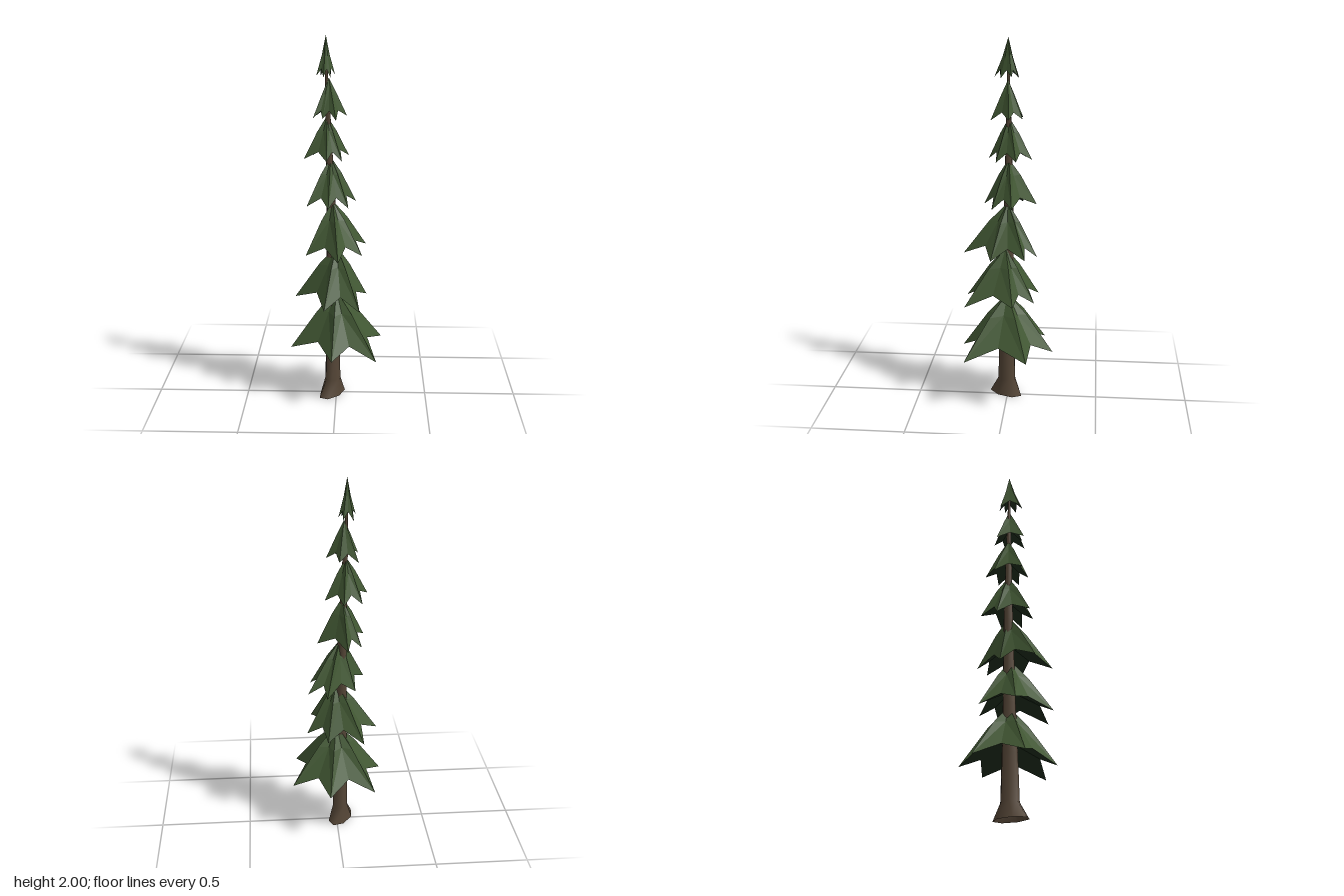
import * as THREE from 'three';
import { mergeVertices } from 'three/addons/utils/BufferGeometryUtils.js';

// Each tier: apex [x, y, z], lowest height, outward bend, and its branch tips [x, z] in order round the trunk
const TIERS = [
  { apex: [0, 0.61, 0], low: 0.28, bend: 0.06, tips: [[-0.2, -0.2], [0.05, -0.255], [0.25, -0.12], [0.22, 0.22], [-0.02, 0.25], [-0.25, 0.06]] },
  { apex: [0, 0.87, 0.01], low: 0.565, bend: 0.06, tips: [[-0.14, -0.165], [0.055, -0.15], [0.165, -0.04], [0.13, 0.225], [-0.06, 0.23], [-0.225, 0.015]] },
  { apex: [-0.02, 1.12, 0], low: 0.835, bend: 0.06, tips: [[-0.1, -0.055], [0.06, -0.165], [0.16, -0.105], [0.14, 0.08], [0.015, 0.238], [-0.16, 0.125]] },
  { apex: [-0.03, 1.36, -0.005], low: 1.1, bend: 0.06, tips: [[-0.13, -0.075], [-0.05, -0.155], [0.105, -0.03], [0.065, 0.08], [-0.04, 0.13], [-0.155, 0.1]] },
  { apex: [-0.05, 1.58, -0.005], low: 1.35, bend: 0.05, tips: [[-0.13, -0.09], [-0.03, -0.13], [0.065, -0.05], [0.03, 0.06], [-0.05, 0.105], [-0.17, 0.06]] },
  { apex: [-0.04, 1.78, 0], low: 1.57, bend: 0.02, tips: [[-0.11, -0.075], [-0.01, -0.08], [0.055, -0.01], [0, 0.09], [-0.07, 0.07], [-0.12, 0.075]] },
  { apex: [-0.055, 2, 0], low: 1.785, bend: -0.08, tips: [[-0.085, -0.055], [-0.03, -0.055], [-0.008, -0.02], [-0.03, 0.04], [-0.065, 0.075], [-0.103, 0.05]] },
];

function faceted(points) {
  const geometry = new THREE.BufferGeometry().setFromPoints(points);
  geometry.computeVertexNormals();
  return geometry;
}

// Star-shaped cone: ridges run to the tips, valleys to the notches, hollow underneath
function tierGeometries({ apex, low, bend, tips }) {
  const top = new THREE.Vector3(...apex);
  const height = top.y - low;
  const rim = [];
  tips.forEach(([x, z], i) => {
    const [nx, nz] = tips[(i + 1) % tips.length];
    rim.push(new THREE.Vector3(x, low + height * 0.025 * (i % 3), z));
    const notch = new THREE.Vector3((x + nx) / 2, low + height * 0.21, (z + nz) / 2);
    notch.x += (top.x - notch.x) * 0.27;
    notch.z += (top.z - notch.z) * 0.27;
    rim.push(notch);
  });
  // Shoulder ring bends the boughs between apex and rim
  const shoulder = rim.map((p, i) => {
    const s = top.clone().lerp(p, 0.42);
    s.y += height * (i % 2 ? Math.min(bend, 0) : bend);
    return s;
  });
  const hollow = new THREE.Vector3(top.x, low + height * 0.42, top.z);
  const upper = [];
  const under = [];
  rim.forEach((p, i) => {
    const j = (i + 1) % rim.length;
    upper.push(top, shoulder[j], shoulder[i]);
    // Split each quad so its crease runs towards the tip
    if (i % 2 === 0) upper.push(shoulder[i], shoulder[j], p, shoulder[j], rim[j], p);
    else upper.push(shoulder[i], shoulder[j], rim[j], shoulder[i], rim[j], p);
    under.push(hollow, p, rim[j]);
  });
  return { upper: faceted(upper), under: faceted(under) };
}

// Trunk: tapered rings [centre x, y, centre z, radius x, radius z, diagonal skew] with a flared foot
function trunkGeometry() {
  const rings = [
    [-0.025, 0, 0.01, 0.069, 0.09, -0.02],
    [-0.021, 0.09, 0.004, 0.043, 0.05, -0.003],
    [-0.02, 0.35, 0.003, 0.039, 0.043, 0],
    [-0.025, 0.62, 0, 0.033, 0.035, 0],
    [-0.03, 1.1, -0.005, 0.025, 0.026, 0],
    [-0.045, 1.58, -0.003, 0.014, 0.014, 0],
    [-0.055, 1.88, 0, 0.006, 0.006, 0],
  ];
  let geometry = new THREE.CylinderGeometry(1, 1, 1, 7, rings.length - 1, true);
  // Weld the seam so the bark shades smoothly all round
  geometry.deleteAttribute('uv');
  geometry.deleteAttribute('normal');
  geometry = mergeVertices(geometry);
  const pos = geometry.attributes.position;
  for (let i = 0; i < pos.count; i++) {
    const k = Math.round((pos.getY(i) + 0.5) * (rings.length - 1));
    const [cx, y, cz, rx, rz, skew] = rings[k];
    const x = pos.getX(i);
    const z = pos.getZ(i);
    pos.setXYZ(i, cx + x * rx + z * skew, y, cz + z * rz + x * skew);
  }
  geometry.computeVertexNormals();
  return geometry;
}

function material(name, color) {
  const m = new THREE.MeshStandardMaterial({ color });
  m.name = name;
  return m;
}

export function createModel() {
  const needles = material('needleGreen', 0x415733);
  const shade = material('underGreen', 0x1e2d1c);
  const bark = material('barkBrown', 0x544536);
  bark.side = THREE.DoubleSide;

  const tree = new THREE.Group();
  tree.name = 'pineTree';
  const add = (parent, name, geometry, mat) => {
    const mesh = new THREE.Mesh(geometry, mat);
    mesh.name = name;
    parent.add(mesh);
  };

  add(tree, 'trunk', trunkGeometry(), bark);

  TIERS.forEach((tier, i) => {
    const group = new THREE.Group();
    group.name = `branchTier${i + 1}`;
    const { upper, under } = tierGeometries(tier);
    add(group, 'boughs', upper, needles);
    add(group, 'underside', under, shade);
    tree.add(group);
  });
  return tree;
}
